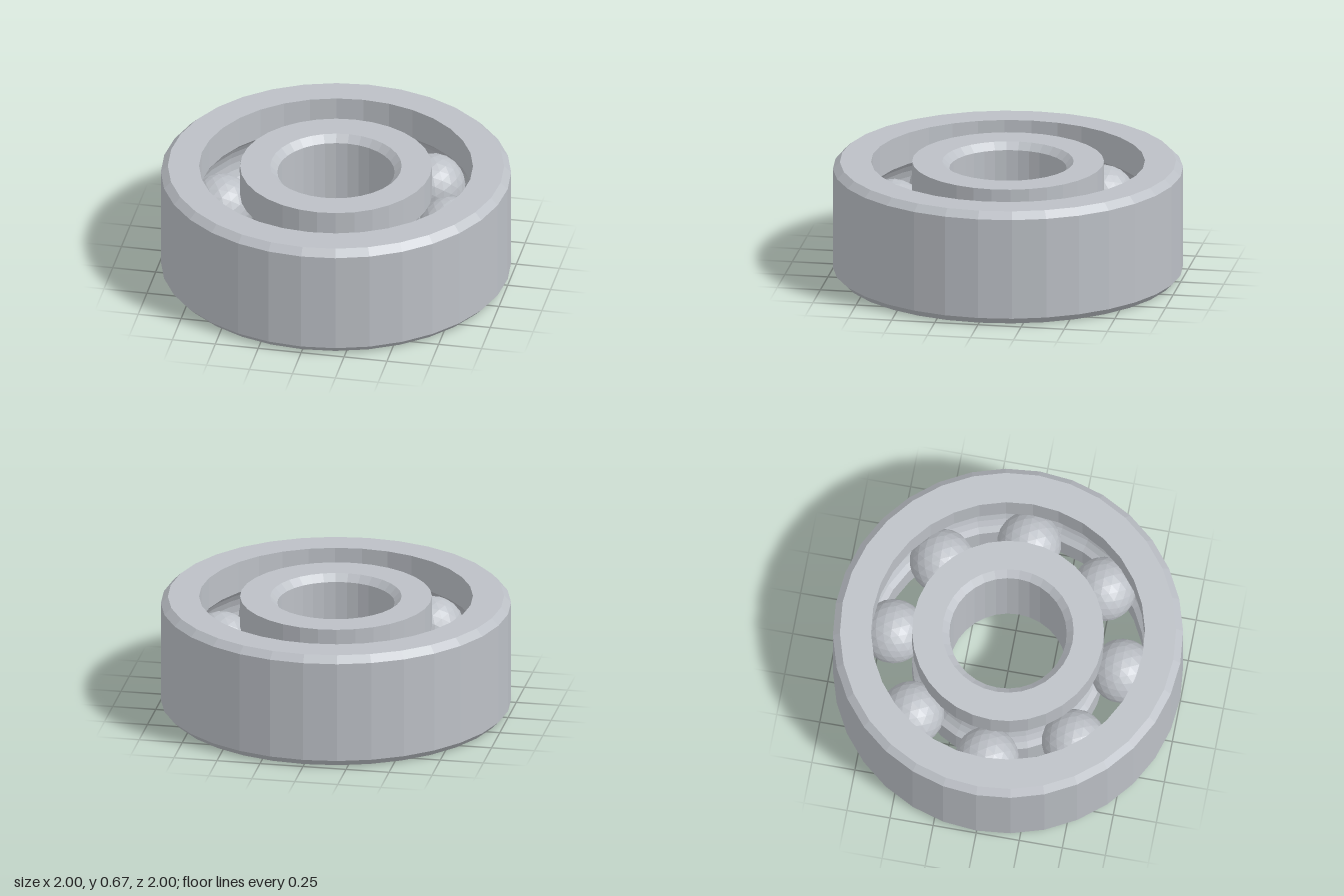
import * as THREE from 'three';

const HEIGHT = 0.67, MID = HEIGHT / 2, CHAMFER = 0.04;
const BALL_RADIUS = 0.185, PITCH = 0.665, GROOVE = 0.19;

// Faceted copy of a geometry: one normal per face
function faceted(geometry) {
  const flat = geometry.index ? geometry.toNonIndexed() : geometry;
  flat.computeVertexNormals();
  return flat;
}

// Groove arc from the ring's raceway wall, side +1 = outer ring, -1 = inner ring
function groove(side, wallRadius, steps = 8) {
  const half = Math.acos((wallRadius - PITCH) * side / GROOVE);
  const points = [];
  for (let i = 0; i <= steps; i++) {
    // outer ring runs downwards, inner ring runs upwards
    const a = side * half * (1 - 2 * i / steps);
    points.push([PITCH + side * GROOVE * Math.cos(a), MID + GROOVE * Math.sin(a)]);
  }
  return points;
}

function ring(name, profile, material) {
  const points = [...profile, profile[0]].map(([r, y]) => new THREE.Vector2(r, y));
  const mesh = new THREE.Mesh(faceted(new THREE.LatheGeometry(points, 32)), material);
  mesh.name = name;
  return mesh;
}

export function createModel() {
  const model = new THREE.Group();
  model.name = 'ballBearing';
  const steel = new THREE.MeshStandardMaterial({ color: 0xbcc0c6 });
  steel.name = 'steel';

  // Outer ring: chamfered outside, raceway groove inside
  model.add(ring('outerRing', [
    [1 - CHAMFER, 0], [1, CHAMFER], [1, HEIGHT - CHAMFER], [1 - CHAMFER, HEIGHT],
    [0.782, HEIGHT], ...groove(1, 0.782), [0.782, 0],
  ], steel));

  // Inner ring: raceway groove outside, chamfered bore
  model.add(ring('innerRing', [
    [0.548, 0], ...groove(-1, 0.548), [0.548, HEIGHT],
    [0.335 + CHAMFER, HEIGHT], [0.335, HEIGHT - CHAMFER],
    [0.335, CHAMFER], [0.335 + CHAMFER, 0],
  ], steel));

  // Eight balls on the pitch circle
  const ballGeometry = faceted(new THREE.IcosahedronGeometry(BALL_RADIUS, 3));
  for (let i = 0; i < 8; i++) {
    const a = i * Math.PI / 4;
    const ball = new THREE.Mesh(ballGeometry, steel);
    ball.name = `ball${i + 1}`;
    ball.position.set(PITCH * Math.sin(a), MID, PITCH * Math.cos(a));
    model.add(ball);
  }
  return model;
}
